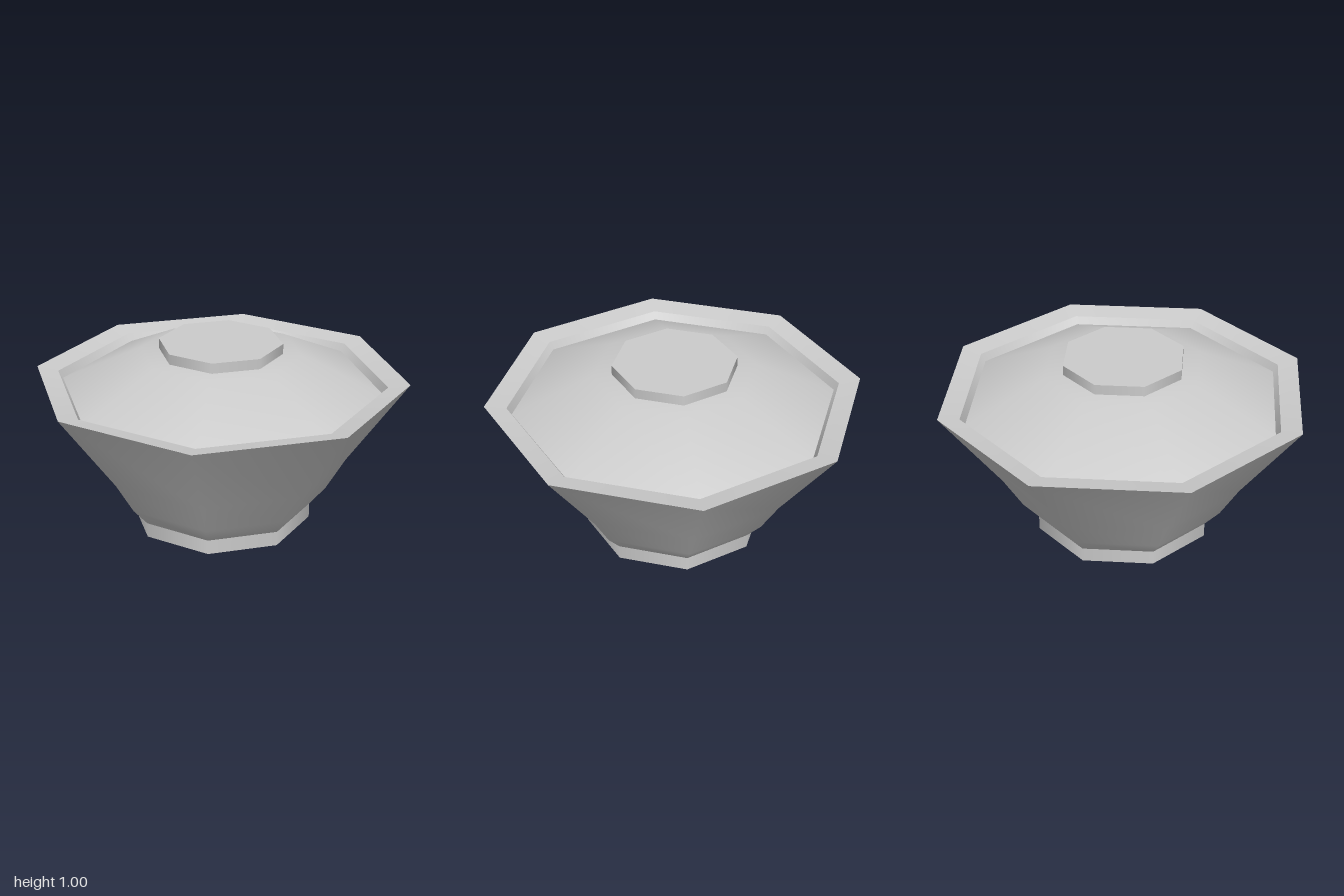
import * as THREE from 'three';

const SIDES = 8;

export function createModel() {
  const group = new THREE.Group();
  group.name = 'liddedBowl';
  const grey = new THREE.MeshStandardMaterial({ color: 0xcccccc });
  grey.name = 'pale grey';

  // Each part is a list of smooth eight-sided bands; edges between bands stay sharp.
  function addPart(name, bands) {
    const part = new THREE.Group();
    part.name = name;
    bands.forEach((points, i) => {
      const profile = points.map(([r, y]) => new THREE.Vector2(r, y));
      const mesh = new THREE.Mesh(new THREE.LatheGeometry(profile, SIDES), grey);
      mesh.name = `${name}Band${i + 1}`;
      part.add(mesh);
    });
    group.add(part);
  }

  // Foot: hollow underside, flat ring, outer wall
  addPart('foot', [
    [[0, 0.12], [0.2, 0.105], [0.34, 0.06], [0.39, 0]],
    [[0.39, 0], [0.49, 0]],
    [[0.49, 0], [0.49, 0.08]],
  ]);

  // Bowl: flared wall, rim sloping slightly inward, short inner wall
  addPart('bowl', [
    [[0.49, 0.08], [0.575, 0.18], [0.68, 0.36], [1, 0.81]],
    [[1, 0.81], [0.885, 0.79]],
    [[0.885, 0.79], [0.86, 0.75]],
  ]);

  // Lid: sloping sides with a level crown
  addPart('lid', [[[0.86, 0.75], [0.43, 0.95], [0, 0.95]]]);

  // Knob: low flat grip on the crown
  addPart('knob', [
    [[0.33, 0.95], [0.33, 1.005]],
    [[0.33, 1.005], [0, 1.005]],
  ]);

  return group;
}
